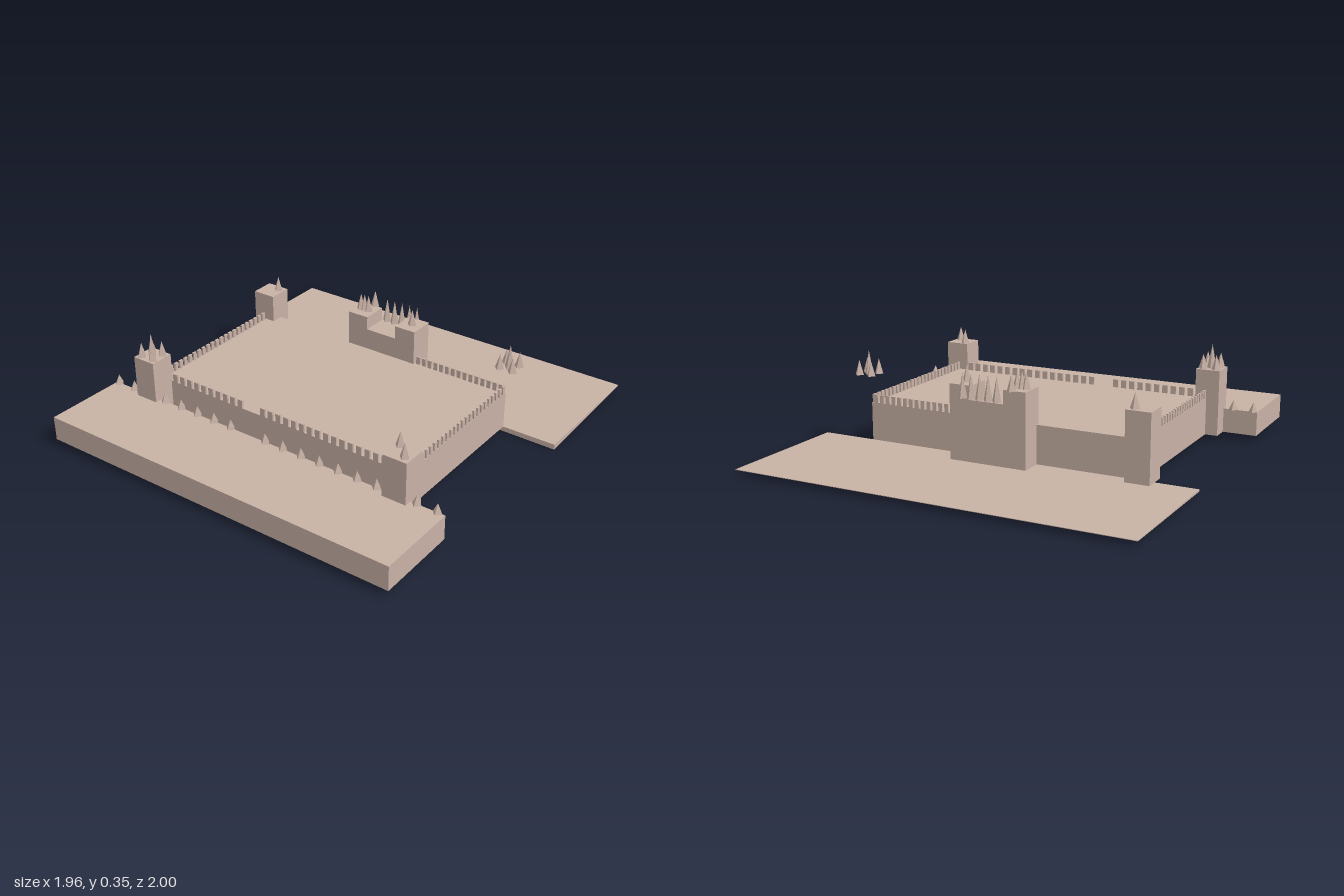
import * as THREE from 'three';

const stone = new THREE.MeshStandardMaterial({ color: 0xc8b1a5, side: THREE.DoubleSide, flatShading: true });
stone.name = 'sandstone';
const BASE = 0.02, DECK = 0.16;

export function createModel() {
  const model = new THREE.Group();
  model.name = 'castle';
  const plan = new THREE.Group(); // the whole plan is turned on the ground
  plan.name = 'castlePlan';
  plan.rotation.y = THREE.MathUtils.degToRad(-27);
  model.add(plan);

  function add(name, geometry, x = 0, y = 0, z = 0) {
    const mesh = new THREE.Mesh(geometry, stone);
    mesh.name = name;
    mesh.position.set(x, y, z);
    plan.add(mesh);
    return mesh;
  }

  // Four walls and a roof, open underneath
  function shell(name, x0, x1, z0, z1, top) {
    const g = new THREE.BoxGeometry(x1 - x0, top - BASE, z1 - z0);
    const index = Array.from(g.index.array);
    index.splice(18, 6);
    g.setIndex(index);
    g.clearGroups();
    return add(name, g, (x0 + x1) / 2, (BASE + top) / 2, (z0 + z1) / 2);
  }

  // Pointed four-sided spire
  function spire(name, x, z, y, height) {
    add(name, new THREE.ConeGeometry(0.018, height, 4), x, y + height / 2, z);
  }

  function tower(name, x, z, top) {
    shell(name, x - 0.045, x + 0.045, z - 0.045, z + 0.045, top);
  }

  // Courtyard and front terrace
  shell('courtyard', -0.54, 0.515, -0.23, 0.395, DECK);
  shell('frontTerrace', -0.715, 0.695, 0.455, 0.763, 0.11);

  // Rear terrace: flat top, skirt sinking to the sloping ground
  const rear = shell('rearTerrace', -0.74, 0.72, -0.747, -0.23, 0.04);
  rear.position.y = 0;
  const p = rear.geometry.attributes.position;
  for (let i = 0; i < p.count; i++) {
    const front = p.getZ(i) > 0, right = p.getX(i) > 0;
    p.setY(i, p.getY(i) > 0 ? BASE : !front ? 0.018 : right ? 0 : 0.013);
  }
  rear.geometry.computeVertexNormals();

  // Corner towers
  tower('backLeftTower', -0.541, -0.229, 0.265);
  tower('frontLeftTower', -0.542, 0.435, 0.265);
  tower('frontRightTower', 0.522, 0.438, 0.265);

  // Gatehouse
  shell('gatehouseMiddle', -0.071, 0.053, -0.312, -0.215, 0.24);
  shell('gatehouseLeftTower', -0.155, -0.071, -0.312, -0.215, 0.29);
  shell('gatehouseRightTower', 0.053, 0.137, -0.312, -0.215, 0.29);

  // Spires on the corner towers, and a free cluster over the fourth corner
  for (const [cx, cz] of [[-0.542, 0.435], [0.522, -0.23]]) {
    spire('centreSpire', cx, cz, 0.265, 0.088);
    for (const sx of [-1, 1]) for (const sz of [-1, 1])
      spire('cornerSpire', cx + sx * 0.025, cz + sz * 0.025, 0.265, 0.055);
  }
  spire('backLeftSpire', -0.52, -0.25, 0.265, 0.055);
  spire('frontRightSpire', 0.495, 0.41, 0.265, 0.055);
  spire('frontRightSpire', 0.543, 0.458, 0.265, 0.055);

  // Spires on the gatehouse
  for (const x of [-0.134, -0.118, -0.1]) spire('gateTowerSpire', x, -0.265, 0.29, 0.06);
  spire('gateTowerSpire', 0.096, -0.263, 0.29, 0.06);
  for (let i = 0; i < 5; i++) spire('gateSpire', -0.047 + i * 0.033, -0.312, 0.245, 0.09);
  spire('gateSpire', -0.105, -0.316, 0.29, 0.06);

  // Row of small spires along the front terrace
  for (let i = 0; i < 19; i++) {
    if (i === 2 || i === 8 || i === 16) continue;
    spire('terraceSpire', -0.7 + i * 0.076, 0.457, 0.11, 0.036);
  }

  // Battlements: merlons along one edge of the courtyard
  function battlement(name, x0, z0, x1, z1, step, skip = () => false) {
    const dx = x1 - x0, dz = z1 - z0, n = Math.round(Math.hypot(dx, dz) / step);
    const alongX = Math.abs(dx) > Math.abs(dz);
    const w = step * 0.62;
    const g = new THREE.BoxGeometry(alongX ? w : 0.008, 0.03, alongX ? 0.008 : w);
    for (let i = 0; i < n; i++) {
      const t = (i + 0.5) / n, x = x0 + dx * t;
      if (!skip(x)) add(name, g, x, DECK + 0.015, z0 + dz * t);
    }
  }
  battlement('frontMerlon', -0.495, 0.391, 0.475, 0.391, 0.033, x => Math.abs(x + 0.12) < 0.03);
  battlement('leftMerlon', -0.536, -0.18, -0.536, 0.39, 0.025);
  battlement('rightMerlon', 0.511, -0.23, 0.511, 0.39, 0.025);
  battlement('backMerlon', 0.14, -0.226, 0.51, -0.226, 0.025);

  return model;
}
